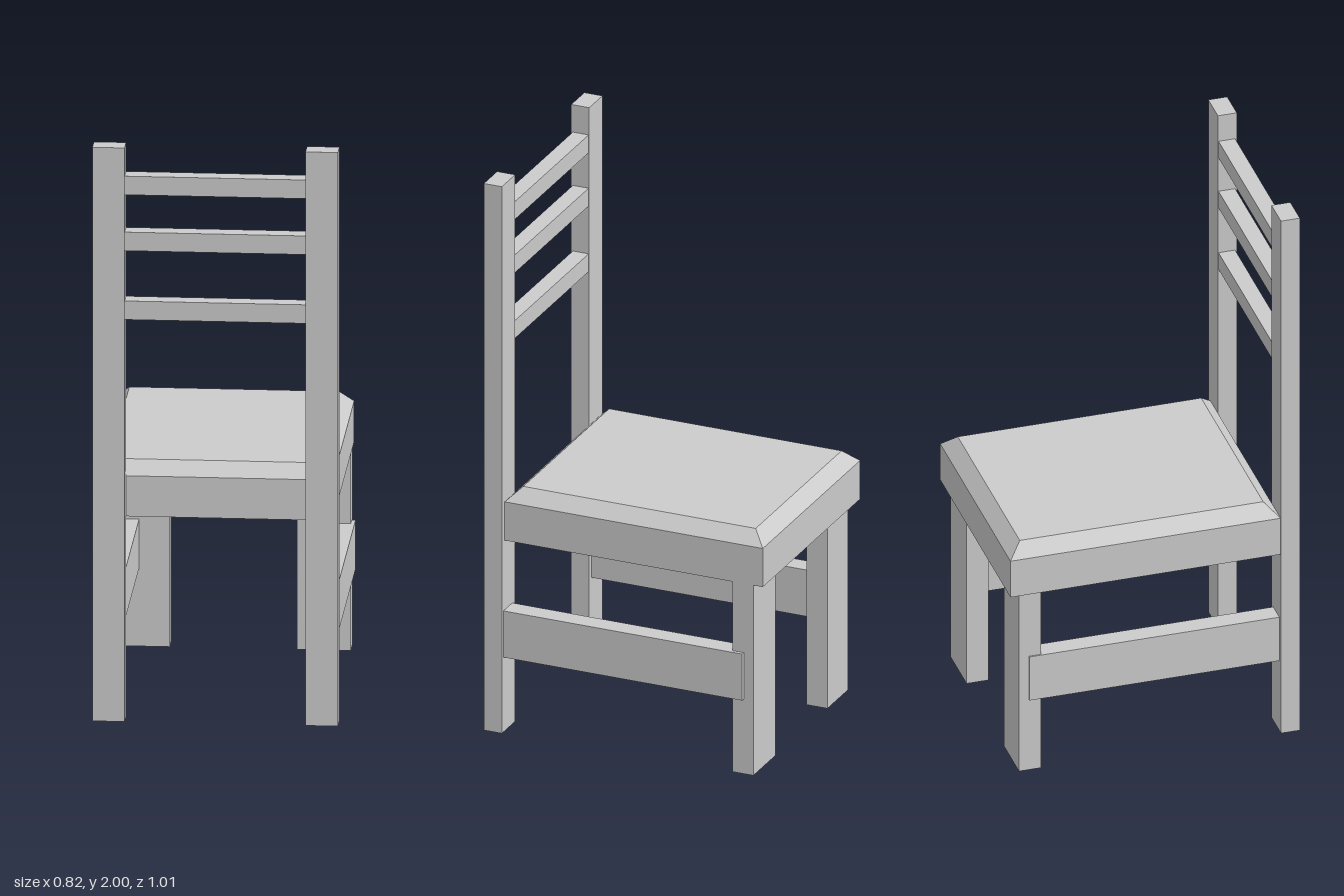
import * as THREE from 'three';

const material = new THREE.MeshStandardMaterial({ color: 0xcccccc, flatShading: true });

// Box spanning the given [min, max] ranges
function boxBetween(x, y, z) {
  const geometry = new THREE.BoxGeometry(x[1] - x[0], y[1] - y[0], z[1] - z[0]);
  geometry.translate((x[0] + x[1]) / 2, (y[0] + y[1]) / 2, (z[0] + z[1]) / 2);
  return geometry;
}

export function createModel() {
  const chair = new THREE.Group();
  chair.name = 'chair';
  const add = (name, geometry) => {
    const mesh = new THREE.Mesh(geometry, material);
    mesh.name = name;
    chair.add(mesh);
  };

  // Tall back posts, running from the floor to the top
  add('rightBackPost', boxBetween([-0.413, -0.305], [0, 2], [0.44, 0.506]));
  add('leftBackPost', boxBetween([0.302, 0.411], [0, 2], [0.44, 0.506]));

  // Back slats between the posts
  for (const y of [1.40, 1.64, 1.835]) {
    add('backSlat', boxBetween([-0.305, 0.302], [y, y + 0.065], [0.442, 0.5]));
  }

  // Seat: a straight-sided slab with a bevelled cushion on top
  const seatX = [-0.41, 0.388];
  const seatZ = [-0.506, 0.44];
  add('seatBase', boxBetween(seatX, [0.697, 0.838], seatZ));
  const cushion = boxBetween(seatX, [0.838, 0.884], seatZ);
  const p = cushion.attributes.position;
  const inset = 0.047;
  for (let i = 0; i < p.count; i++) {
    if (p.getY(i) < 0.86) continue;
    p.setX(i, p.getX(i) - Math.sign(p.getX(i)) * inset);
    p.setZ(i, p.getZ(i) - Math.sign(p.getZ(i)) * inset);
  }
  cushion.computeVertexNormals();
  add('seatBevel', cushion);

  // Short legs at the far end of the seat
  add('rightSeatLeg', boxBetween([-0.39, -0.222], [0, 0.697], [-0.47, -0.393]));
  add('leftSeatLeg', boxBetween([0.205, 0.385], [0, 0.697], [-0.47, -0.393]));

  // Side rails joining the legs to the posts
  add('rightSideRail', boxBetween([-0.395, -0.325], [0.273, 0.443], [-0.435, 0.44]));
  add('leftSideRail', boxBetween([0.325, 0.398], [0.273, 0.443], [-0.435, 0.44]));

  return chair;
}
